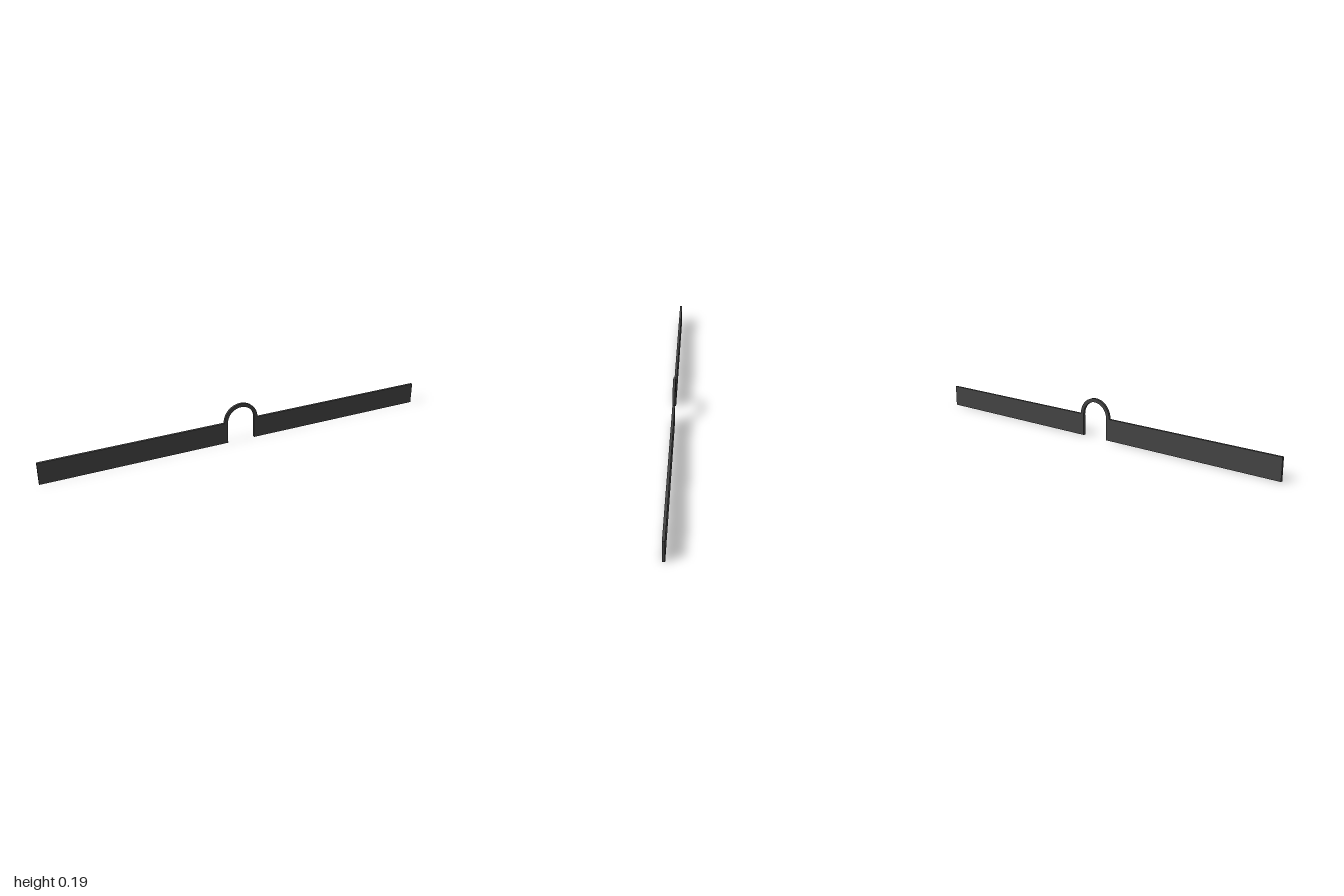
import * as THREE from 'three';

export function createModel() {
  const model = new THREE.Group();
  const charcoal = new THREE.MeshStandardMaterial({ color: 0x444444 });
  charcoal.name = 'charcoal';

  const depth = 0.012;
  const wallHeight = 0.107;
  const archX = -0.0145;
  const innerRadius = 0.07;
  const outerRadius = 0.088;
  const postWidth = 0.018;

  const add = (name, geometry, x, y, z) => {
    const mesh = new THREE.Mesh(geometry, charcoal);
    mesh.name = name;
    mesh.position.set(x, y, z);
    model.add(mesh);
  };
  const addBlock = (name, x0, x1) =>
    add(name, new THREE.BoxGeometry(x1 - x0, wallHeight, depth), (x0 + x1) / 2, wallHeight / 2, 0);

  // Long walls on either side of the opening, each closed by a flush end post
  for (const [side, s] of [['right', -1], ['left', 1]]) {
    const opening = archX + s * innerRadius;
    const post = s * (1 - postWidth);
    addBlock(side + 'Wall', Math.min(opening, post), Math.max(opening, post));
    addBlock(side + 'EndPost', Math.min(post, s), Math.max(post, s));
  }

  // Semicircular band spanning the opening
  const band = new THREE.Shape();
  band.absarc(0, 0, outerRadius, 0, Math.PI, false);
  band.absarc(0, 0, innerRadius, Math.PI, 0, true);
  band.closePath();
  const arch = new THREE.ExtrudeGeometry(band, { depth, bevelEnabled: false, curveSegments: 24 });
  add('arch', arch, archX, wallHeight, -depth / 2);

  return model;
}
